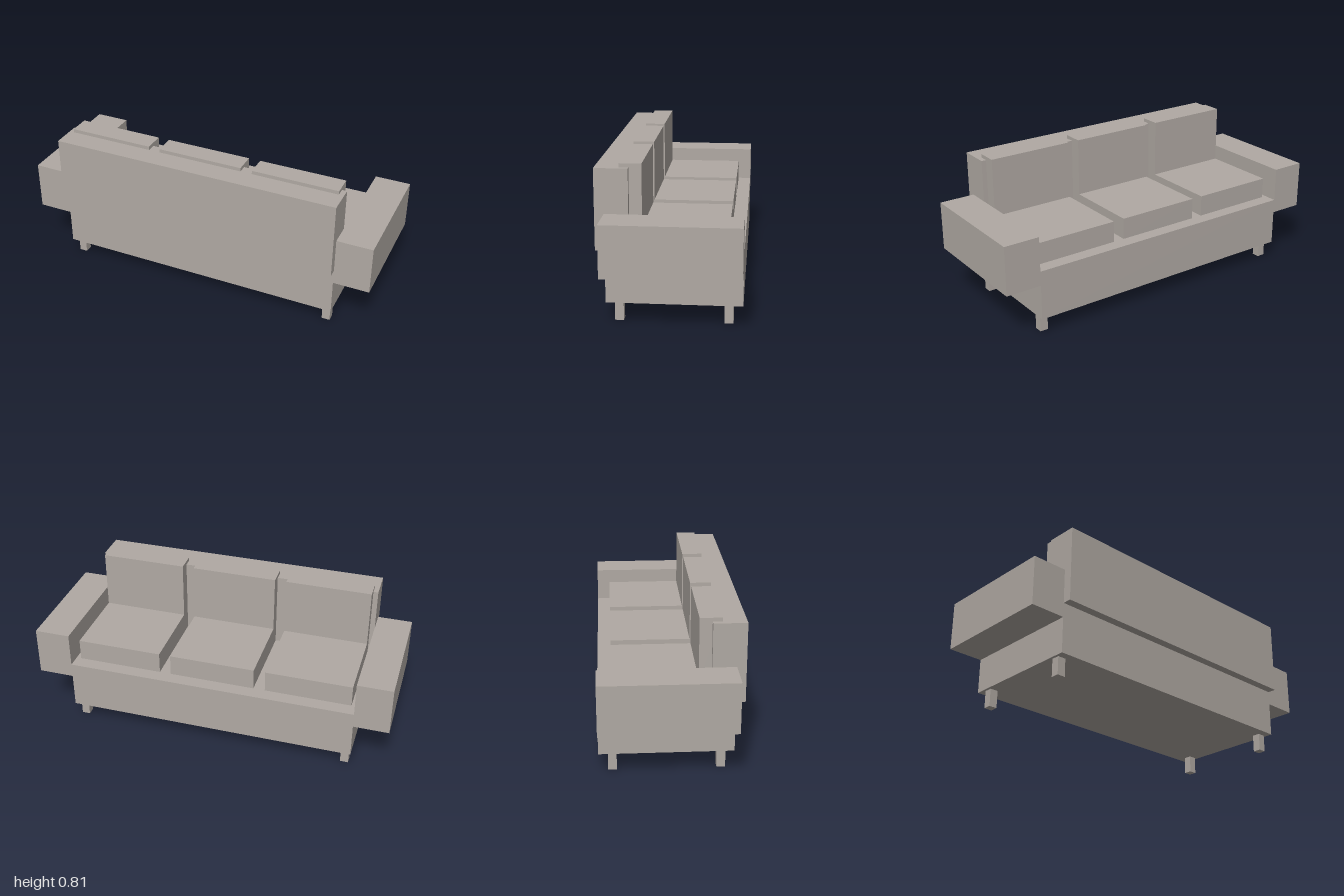
import * as THREE from 'three';

export function createModel() {
  const sofa = new THREE.Group();
  sofa.name = 'sofa';

  const fabric = new THREE.MeshStandardMaterial({ color: 0xb0a9a3 });
  fabric.name = 'warm grey';

  // Box given by its extents along each axis
  const block = (name, [x0, x1], [y0, y1], [z0, z1]) => {
    const mesh = new THREE.Mesh(new THREE.BoxGeometry(x1 - x0, y1 - y0, z1 - z0), fabric);
    mesh.position.set((x0 + x1) / 2, (y0 + y1) / 2, (z0 + z1) / 2);
    mesh.name = name;
    sofa.add(mesh);
  };

  // Frame: base and backrest (the backrest stands at +z)
  const width = [-0.807, 0.803];
  const depth = [-0.37, 0.322];
  block('base', width, [0.098, 0.37], depth);
  block('backrest', width, [0.37, 0.79], [0.2, 0.37]);

  // Armrests overhang the sides of the base
  block('rightArmrest', [-1, -0.807], [0.291, 0.56], depth);
  block('leftArmrest', [0.803, 1], [0.291, 0.56], depth);

  // Three pairs of seat and back cushions
  for (const x of [-0.542, -0.002, 0.538]) {
    const span = [x - 0.238, x + 0.238];
    block('seatCushion', span, [0.37, 0.488], [-0.295, 0.2]);
    block('backCushion', span, [0.488, 0.81], [0.136, 0.249]);
  }

  // Square legs
  for (const x of [-0.77, 0.765]) {
    for (const z of [-0.299, 0.255]) {
      block('leg', [x - 0.0225, x + 0.0225], [0, 0.098], [z - 0.0225, z + 0.0225]);
    }
  }

  return sofa;
}
